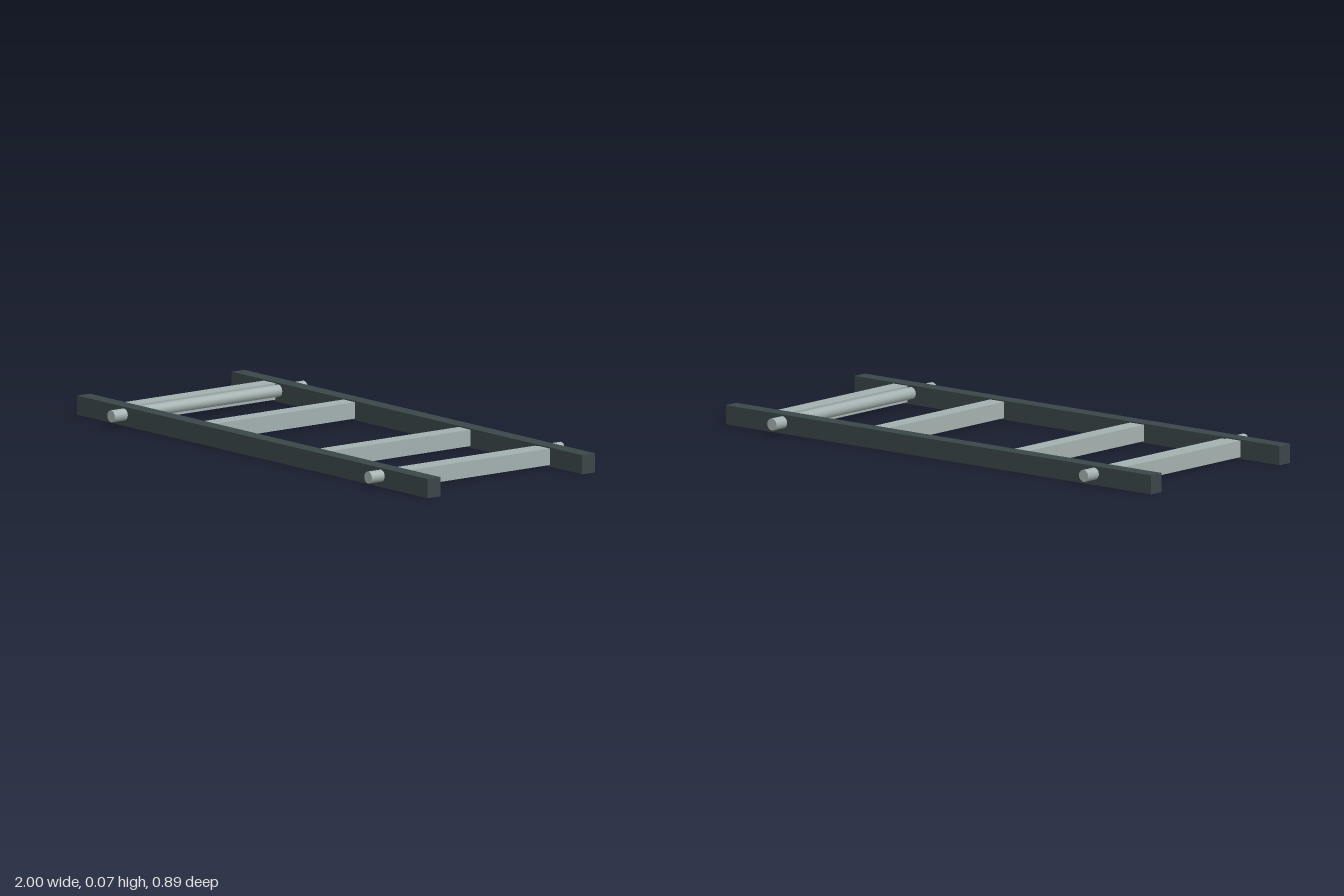
import * as THREE from 'three';

export function createModel() {
  const model = new THREE.Group();
  model.name = 'ladderFrame';

  const railPaint = new THREE.MeshStandardMaterial({ color: 0x3a4649 });
  railPaint.name = 'dark slate';
  const steel = new THREE.MeshStandardMaterial({ color: 0xa3b0af });
  steel.name = 'pale steel';

  const add = (name, geometry, material, x, y, z) => {
    const mesh = new THREE.Mesh(geometry, material);
    mesh.name = name;
    mesh.position.set(x, y, z);
    model.add(mesh);
  };

  // Long side rails
  const rail = new THREE.BoxGeometry(2, 0.07, 0.058);
  add('frontRail', rail, railPaint, 0, 0.035, 0.355);
  add('backRail', rail, railPaint, 0, 0.035, -0.355);

  // Cross members between the rails
  const crossMember = new THREE.BoxGeometry(0.065, 0.06, 0.654);
  // Round axles passing through both rails
  const axle = new THREE.CylinderGeometry(0.022, 0.022, 0.886, 16).rotateX(Math.PI / 2);

  for (const [label, side] of [['left', 1], ['right', -1]]) {
    add(label + 'InnerCrossMember', crossMember, steel, side * 0.329, 0.036, 0);
    add(label + 'OuterCrossMember', crossMember, steel, side * 0.783, 0.036, 0);
    add(label + 'Axle', axle, steel, side * 0.733, 0.042, 0);
  }

  return model;
}
